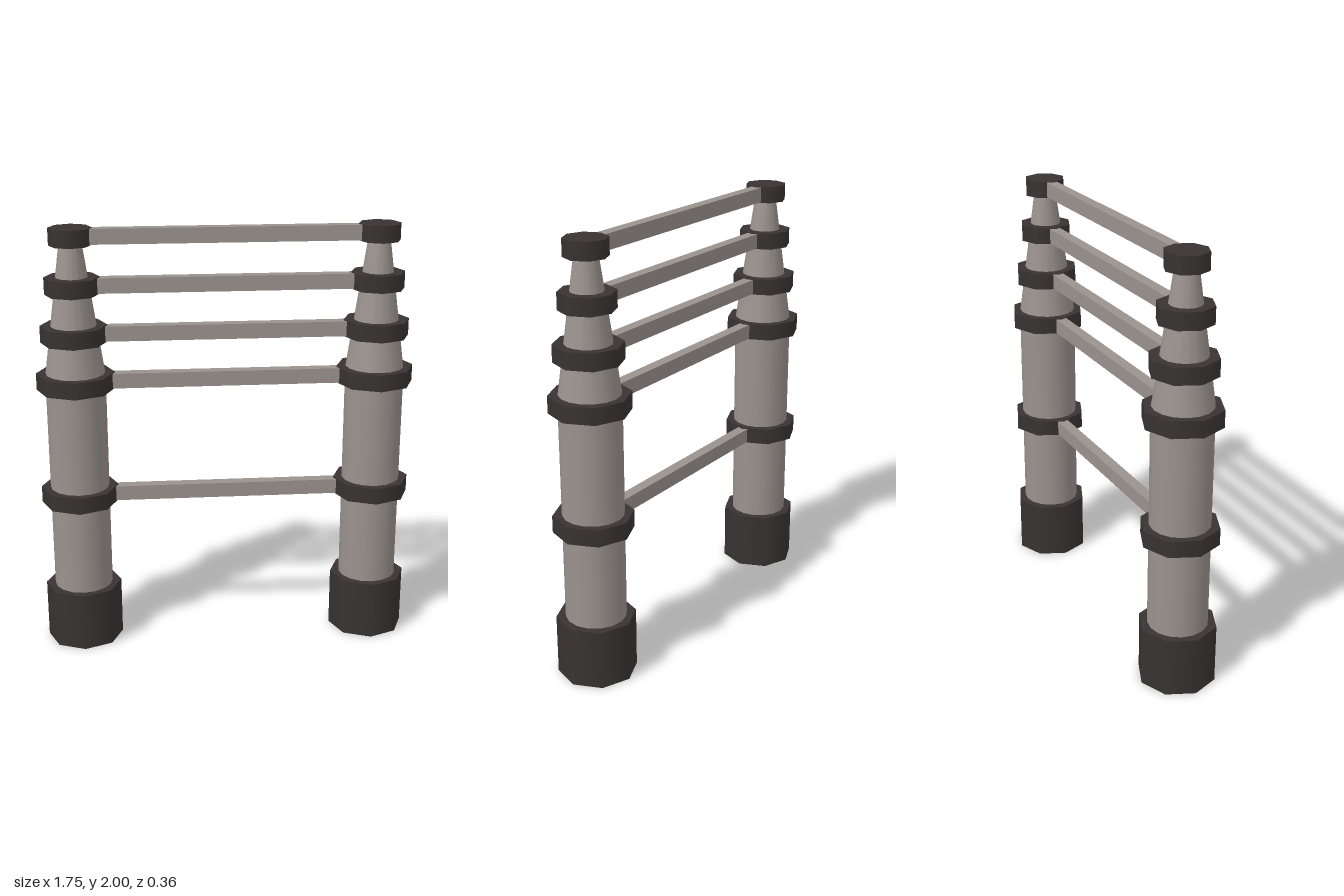
import * as THREE from 'three';

const postX = 0.695;

// height of centre, radius for each collar
const collars = [
  [0.74, 0.18],
  [1.295, 0.18],
  [1.518, 0.153],
  [1.74, 0.125],
  [1.961, 0.097],
];
const collarHeight = 0.078;

export function createModel() {
  const model = new THREE.Group();
  const grey = new THREE.MeshStandardMaterial({ color: 0x9a928d });
  grey.name = 'warmGrey';
  const dark = new THREE.MeshStandardMaterial({ color: 0x393333 });
  dark.name = 'darkBrown';

  const add = (parent, name, geometry, material, x, y) => {
    const mesh = new THREE.Mesh(geometry, material);
    mesh.name = name;
    mesh.position.set(x, y, 0);
    parent.add(mesh);
  };

  // two posts: octagonal foot, round shaft, tapering top, octagonal collars
  for (const side of [-1, 1]) {
    const post = new THREE.Group();
    post.name = side > 0 ? 'leftPost' : 'rightPost';
    post.position.x = side * postX;
    model.add(post);
    add(post, 'foot', new THREE.CylinderGeometry(0.18, 0.18, 0.28, 8), dark, 0, 0.14);
    add(post, 'shaft', new THREE.CylinderGeometry(0.138, 0.138, 1.08, 16), grey, 0, 0.78);
    add(post, 'taperedTop', new THREE.CylinderGeometry(0.05, 0.138, 0.62, 16), grey, 0, 1.63);
    for (const [y, r] of collars) {
      add(post, 'collar', new THREE.CylinderGeometry(r, r, collarHeight, 8), dark, 0, y);
    }
  }

  // rails joining each pair of collars
  for (const [y, r] of collars) {
    const length = 2 * (postX - r + 0.03);
    add(model, 'rail', new THREE.BoxGeometry(length, 0.07, 0.053), grey, 0, y);
  }
  return model;
}
